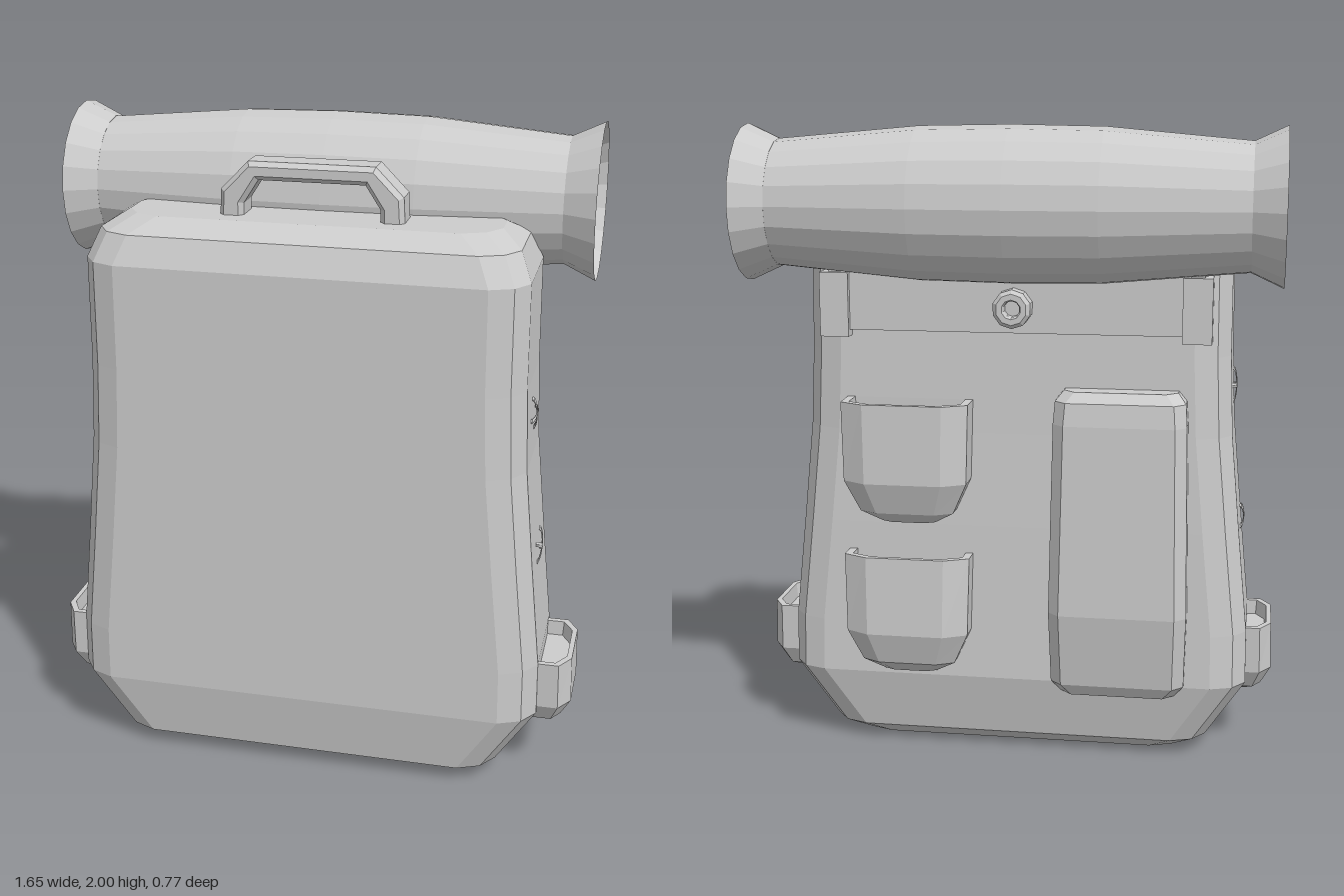
import * as THREE from 'three';

const grey = new THREE.MeshStandardMaterial({ color: 0xcccccc, flatShading: true, side: THREE.DoubleSide });

function add(parent, name, geometry, x = 0, y = 0, z = 0) {
  const mesh = new THREE.Mesh(geometry, grey);
  mesh.name = name;
  mesh.position.set(x, y, z);
  parent.add(mesh);
  return mesh;
}

// Skin over horizontal rings of [x, y, z] points, capped at both ends
function loft(rings) {
  const out = [];
  const n = rings[0].length;
  const centre = (r) => [0, 1, 2].map((k) => r.reduce((s, p) => s + p[k], 0) / n);
  const bottom = rings[0], top = rings[rings.length - 1];
  const cb = centre(bottom), ct = centre(top);
  for (let j = 0; j < n; j++) {
    const k = (j + 1) % n;
    for (let i = 0; i < rings.length - 1; i++) {
      const a = rings[i][j], b = rings[i][k], c = rings[i + 1][k], d = rings[i + 1][j];
      out.push(...a, ...b, ...c, ...a, ...c, ...d);
    }
    out.push(...cb, ...bottom[k], ...bottom[j], ...ct, ...top[j], ...top[k]);
  }
  const g = new THREE.BufferGeometry();
  g.setAttribute('position', new THREE.Float32BufferAttribute(out, 3));
  g.computeVertexNormals();
  return g;
}

// Rounded rectangle section of the bag
function bagRing([y, w, zf, zb]) {
  const right = [
    [w - 0.11, y, zf], [w - 0.04, y, zf - 0.03], [w, y, zf - 0.09],
    [w, y, zb + 0.08], [w - 0.04, y, zb + 0.025], [w - 0.11, y, zb],
  ];
  return [...right, ...right.map(([x, h, z]) => [-x, h, z]).reverse()];
}

// Pocket section: flat against the bag at z = 0, chamfered on the outside
function pocketRing(y, w, d, cx, cz) {
  return [[-w, y, 0], [-w, y, d - cz], [-w + cx, y, d], [w - cx, y, d], [w, y, d - cz], [w, y, 0]];
}

// Open-topped pouch with a tapering bottom
function pouch(w, h, d) {
  const rows = [[0, 0.42, 0.4], [0.1, 0.74, 0.74], [0.36, 0.97, 1], [1, 1, 0.97], [1, 0.88, 0.84], [0.8, 0.86, 0.8]];
  return loft(rows.map(([y, sw, sd]) => pocketRing(y * h, w * sw, d * sd, w * sw * 0.38, d * sd * 0.3)));
}

export function createModel() {
  const model = new THREE.Group();
  model.name = 'backpack';
  const cx = -0.012;

  // Bag body
  add(model, 'body', loft([
    [0, 0.54, 0.27, -0.01], [0.05, 0.61, 0.35, -0.08], [0.25, 0.735, 0.385, -0.125],
    [0.42, 0.733, 0.385, -0.12], [0.75, 0.7, 0.385, -0.11], [1.05, 0.672, 0.385, -0.1],
    [1.3, 0.662, 0.385, -0.095], [1.62, 0.66, 0.385, -0.085], [1.705, 0.625, 0.35, -0.055],
    [1.745, 0.56, 0.265, 0],
  ].map(bagRing)), cx);

  // Carry handle
  const arch = new THREE.Shape([
    [-0.278, 1.73], [-0.273, 1.82], [-0.19, 1.905], [0.19, 1.905], [0.273, 1.82], [0.278, 1.73],
    [0.205, 1.73], [0.205, 1.78], [0.16, 1.85], [-0.16, 1.85], [-0.205, 1.78], [-0.205, 1.73],
  ].map(([x, y]) => new THREE.Vector2(x, y)));
  add(model, 'handle', new THREE.ExtrudeGeometry(arch, {
    depth: 0.08, bevelThickness: 0.016, bevelSize: 0.014, bevelOffset: -0.014, bevelSegments: 1,
  }), cx, 0, 0.107);

  // Bedroll with flared ends and coiled, hollow core
  const end = [
    [0.036, 0.7], [0.062, 0.7], [0.066, 0.735], [0.1, 0.725], [0.12, 0.75],
    [0.16, 0.75], [0.175, 0.715], [0.193, 0.715], [0.238, 0.812],
  ];
  const profile = [
    ...end.map(([r, x]) => [r, -x]),
    [0.192, -0.72], [0.232, -0.28], [0.237, 0], [0.232, 0.28], [0.192, 0.72],
    ...[...end].reverse(), [0.036, -0.7],
  ].map(([r, x]) => new THREE.Vector2(r, x));
  add(model, 'bedroll', new THREE.LatheGeometry(profile, 20), cx, 1.763, -0.147).rotation.z = -Math.PI / 2;

  // Top flap across the back, with end tabs and a ring button
  add(model, 'flap', new THREE.BoxGeometry(1.16, 0.26, 0.07), cx, 1.5, -0.085);
  for (const s of [-1, 1]) {
    add(model, 'flapTab', new THREE.BoxGeometry(0.09, 0.2, 0.11), cx + s * 0.56, 1.45, -0.085);
  }
  add(model, 'button', new THREE.LatheGeometry([
    [0.025, 0], [0.06, 0], [0.06, 0.05], [0.048, 0.062], [0.03, 0.062], [0.025, 0.05], [0.025, 0],
  ].map(([r, y]) => new THREE.Vector2(r, y)), 10), cx, 1.45, -0.118).rotation.x = -Math.PI / 2;
  add(model, 'buttonCentre', new THREE.CylinderGeometry(0.027, 0.027, 0.04, 10), cx, 1.45, -0.12).rotation.x = Math.PI / 2;

  // Two stacked pouches on the back
  for (const y of [0.27, 0.765]) {
    const p = add(model, 'backPouch', pouch(0.2, 0.39, 0.14), 0.32, y, -0.1);
    p.rotation.set(y < 0.5 ? 0.03 : 0, Math.PI, 0);
  }

  // Long closed pocket on the back
  add(model, 'longPocket', loft([
    [0.22, 0.18, 0.06], [0.26, 0.21, 0.085], [0.5, 0.215, 0.125], [1.1, 0.205, 0.11],
    [1.17, 0.2, 0.1], [1.2, 0.175, 0.07],
  ].map(([y, w, d]) => pocketRing(y, w, d, 0.035, 0.035))), -0.345, 0, -0.095).rotation.y = Math.PI;

  for (const s of [-1, 1]) {
    // Side pouch
    add(model, 'sidePouch', pouch(0.155, 0.235, 0.12), s * 0.705 - 0.002, 0.187, 0.14).rotation.y = s * Math.PI / 2;

    // Crossed stitches on the side seams
    for (const [y, x, turn] of [[1.18, 0.665, 0.3], [0.75, 0.7, 1.1]]) {
      const cross = new THREE.Group();
      cross.name = 'crossStitch';
      cross.position.set(cx + s * x, y, 0.145);
      for (const a of [turn, turn + 1.4]) {
        const thread = add(cross, 'thread', new THREE.TorusGeometry(0.055, 0.008, 5, 8, Math.PI));
        thread.scale.y = 0.25;
        thread.rotation.set(a, 0, -s * Math.PI / 2, 'XYZ');
        thread.rotation.x = a;
      }
      model.add(cross);
    }
  }
  return model;
}
